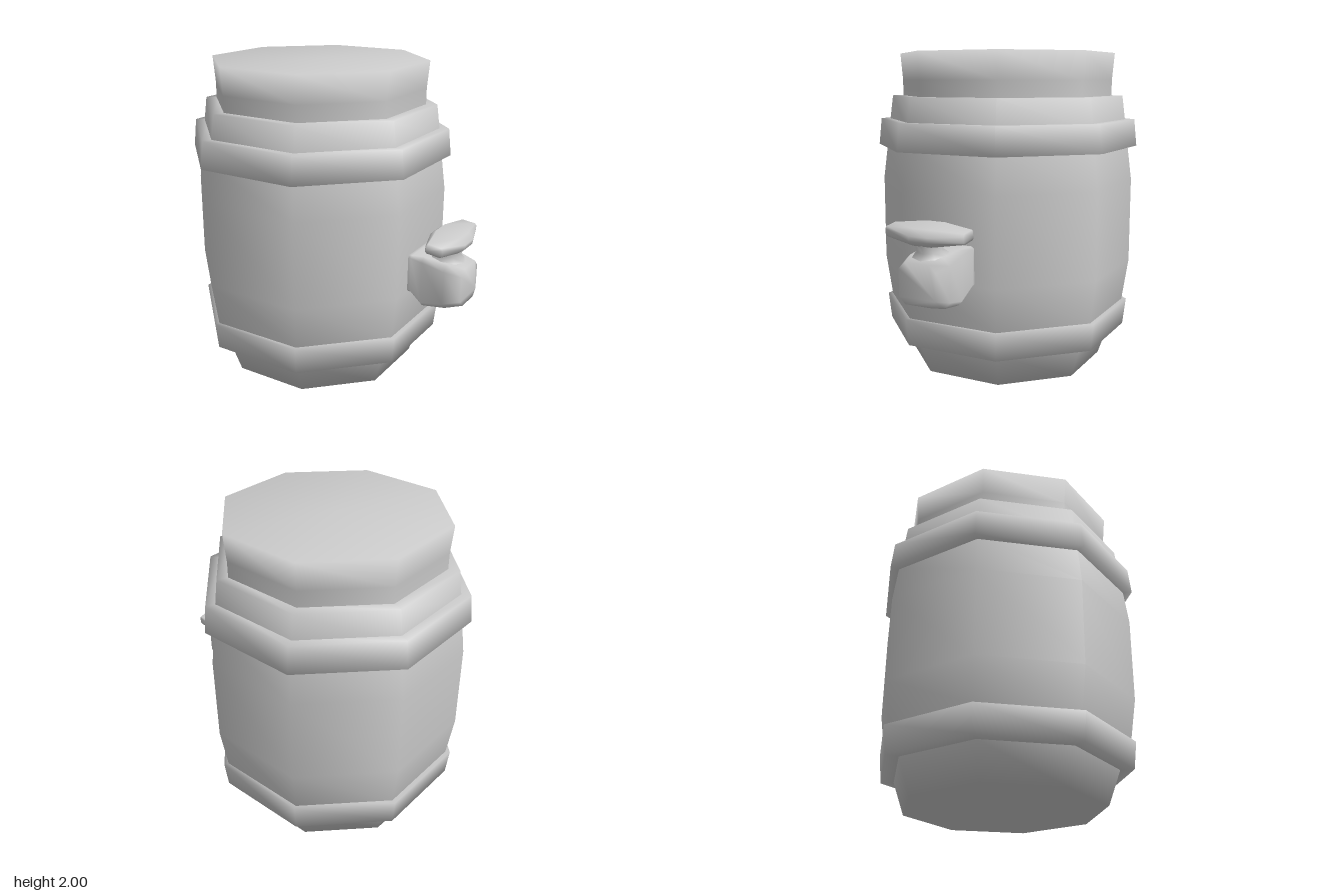
import * as THREE from 'three';

const material = new THREE.MeshStandardMaterial({ color: 0xcccccc });

function addMesh(parent, name, geometry) {
  const mesh = new THREE.Mesh(geometry, material);
  mesh.name = name;
  parent.add(mesh);
  return mesh;
}

// Eight-sided turned part from [radius, height] pairs, bottom to top
function turned(profile, sides = 8) {
  return new THREE.LatheGeometry(profile.map(([r, y]) => new THREE.Vector2(r, y)), sides);
}

// Smooth loft along z through chamfered rectangles: [z, halfWidth, bottom, top, chamfer]
function loft(sections) {
  const positions = [];
  const index = [];
  const n = 8;
  for (const [z, w, b, t, c] of sections) {
    const ring = [
      [w, b + c], [w, t - c], [w - c, t], [c - w, t],
      [-w, t - c], [-w, b + c], [c - w, b], [w - c, b],
    ];
    for (const [x, y] of ring) positions.push(x, y, z);
  }
  for (let s = 0; s < sections.length - 1; s++) {
    for (let i = 0; i < n; i++) {
      const a = s * n + i;
      const b = s * n + (i + 1) % n;
      index.push(a, b, b + n, a, b + n, a + n);
    }
  }
  // End caps
  const last = (sections.length - 1) * n;
  for (let i = 1; i < n - 1; i++) {
    index.push(0, i + 1, i, last, last + i, last + i + 1);
  }
  const geometry = new THREE.BufferGeometry();
  geometry.setAttribute('position', new THREE.Float32BufferAttribute(positions, 3));
  geometry.setIndex(index);
  geometry.computeVertexNormals();
  return geometry;
}

export function createModel() {
  const model = new THREE.Group();
  model.name = 'barrelWithTap';

  const barrel = new THREE.Group();
  barrel.name = 'barrel';
  barrel.position.z = -0.105;
  model.add(barrel);

  // Bulging body, closed at the bottom
  addMesh(barrel, 'body', turned([
    [0, 0], [0.63, 0], [0.705, 0.21], [0.78, 0.38], [0.82, 0.65],
    [0.82, 1.19], [0.79, 1.42], [0.76, 1.5],
  ]));

  // Hoops
  addMesh(barrel, 'lowerHoop', turned([[0.68, 0.21], [0.79, 0.21], [0.81, 0.38], [0.74, 0.38]]));
  addMesh(barrel, 'upperHoop', turned([[0.75, 1.41], [0.848, 1.41], [0.83, 1.58], [0.74, 1.58]]));

  // Stepped collar and flared lid
  addMesh(barrel, 'collar', turned([[0.775, 1.54], [0.75, 1.73], [0.66, 1.73]]));
  addMesh(barrel, 'lid', turned([[0.68, 1.7], [0.68, 1.83], [0.695, 2], [0, 2]]));

  // Tap, square to one of the barrel's flat sides
  const tap = new THREE.Group();
  tap.name = 'tap';
  tap.rotation.y = Math.PI / 8;
  barrel.add(tap);

  addMesh(tap, 'tapBody', loft([
    [0.70, 0.178, 0.65, 0.89, 0.015],
    [0.775, 0.178, 0.65, 0.89, 0.015],
    [0.83, 0.14, 0.55, 0.875, 0.03],
    [0.98, 0.15, 0.57, 0.86, 0.04],
    [1.085, 0.12, 0.60, 0.84, 0.04],
  ]));

  // Stem and handle lean slightly outward
  const valve = new THREE.Group();
  valve.name = 'valve';
  valve.position.set(0, 0.85, 0.94);
  valve.rotation.x = 0.12;
  tap.add(valve);

  addMesh(valve, 'stem', turned([[0.12, -0.02], [0.11, 0.01], [0.075, 0.04], [0.09, 0.11]]));

  const handle = addMesh(valve, 'handle', loft([
    [-0.255, 0.055, 0.11, 0.17, 0.012],
    [-0.06, 0.115, 0.085, 0.185, 0.035],
    [0.06, 0.115, 0.085, 0.185, 0.035],
    [0.255, 0.055, 0.11, 0.17, 0.012],
  ]));
  handle.rotation.y = Math.PI / 2;

  return model;
}
